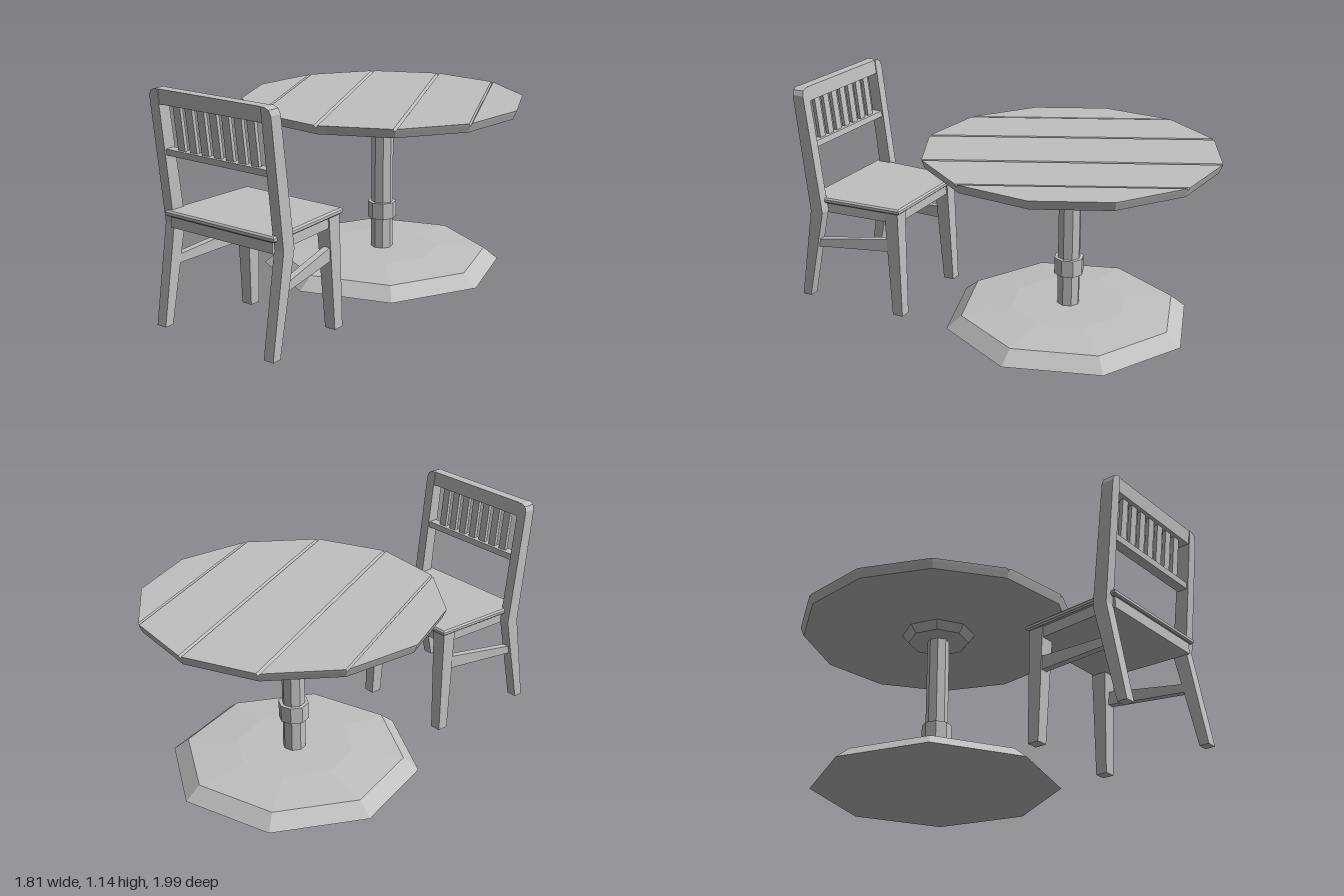
import * as THREE from 'three';
import { ConvexGeometry } from 'three/addons/geometries/ConvexGeometry.js';

export function createModel() {
  const model = new THREE.Group();
  const wood = new THREE.MeshStandardMaterial({ color: 0xc0c0c0 });
  wood.name = 'paleWood';

  const add = (parent, name, geometry) => {
    const mesh = new THREE.Mesh(geometry, wood);
    mesh.name = name;
    parent.add(mesh);
    return mesh;
  };
  const group = (parent, name) => {
    const g = new THREE.Group();
    g.name = name;
    parent.add(g);
    return g;
  };
  // faceted turned part with corners on the axes
  const turned = (points, sides) => {
    const g = new THREE.LatheGeometry(points.map(([r, y]) => new THREE.Vector2(r, y)), sides).toNonIndexed();
    g.computeVertexNormals();
    return g;
  };
  // convex solid through rectangular levels [y, x0, x1, z0, z1]
  const levels = (...rects) => {
    const points = [];
    for (const [y, x0, x1, z0, z1] of rects) {
      for (const x of [x0, x1]) for (const z of [z0, z1]) points.push(new THREE.Vector3(x, y, z));
    }
    return new ConvexGeometry(points);
  };

  // ---- Table ----
  const table = group(model, 'table');
  table.position.set(0.19, 0, -0.283);

  // twelve-sided top of five planks with V grooves between them
  const corner = (deg, r, y) => {
    const a = THREE.MathUtils.degToRad(deg);
    return new THREE.Vector3(r * Math.cos(a), y, r * Math.sin(a));
  };
  const R = 0.717, topY = 0.915, grooveY = 0.902;
  const ring = (k, r, y) => [corner(-30 * k, r, y), corner(30 + 30 * k, r, y)];
  const top = group(table, 'tableTop');
  for (let k = 0; k < 5; k++) {
    const near = ring(k, R, topY), far = ring(k + 1, R, topY);
    const points = [
      ...ring(k, 0.698, 0.87), ...ring(k + 1, 0.698, 0.87),
      ...ring(k, 0.712, grooveY), ...ring(k + 1, 0.712, grooveY),
    ];
    for (let i = 0; i < 2; i++) {
      points.push(near[i].clone().lerp(far[i], k > 0 ? 0.025 : 0));
      points.push(far[i].clone().lerp(near[i], k < 4 ? 0.025 : 0));
    }
    add(top, 'plank', new ConvexGeometry(points));
  }

  add(table, 'topSupport', turned([[0, 0.83], [0.155, 0.83], [0.19, 0.872], [0, 0.872]], 8));
  add(table, 'column', turned([[0.056, 0.1], [0.056, 0.84]], 8));
  add(table, 'collar', turned([[0.05, 0.28], [0.074, 0.28], [0.074, 0.365], [0.05, 0.365]], 8));
  add(table, 'base', turned([[0, 0.035], [0.615, 0.035], [0.54, 0.097], [0.29, 0.118], [0, 0.12]], 8));

  // ---- Chair, local +z is its front ----
  const chair = group(model, 'chair');
  chair.position.set(-0.445, 0, 0.54);
  chair.rotation.y = THREE.MathUtils.degToRad(140);

  // sloping back and front faces of the backrest at height y
  const backZ = (y) => -0.215 - (y - 0.51) * 0.111;
  const frontZ = (y) => -0.145 - (y - 0.51) * 0.127;
  const inner = 0.295, outer = 0.348;

  for (const side of [1, -1]) {
    const pair = group(chair, side > 0 ? 'leftSide' : 'rightSide');
    const part = (name, ...rects) =>
      add(pair, name, levels(...rects.map(([y, a, b, c, d]) => [y, side * a, side * b, c, d])));

    part('backLeg', [0.035, inner, outer, -0.295, -0.247], [0.51, inner, outer, -0.215, -0.145]);
    part('backPost',
      [0.51, inner, outer, backZ(0.51), frontZ(0.51)],
      [1.105, inner, outer, backZ(1.105), frontZ(1.105)],
      [1.13, inner, outer - 0.01, backZ(1.13), frontZ(1.13)],
      [1.14, inner, outer - 0.032, backZ(1.14), frontZ(1.14)]);
    part('frontLeg', [0, 0.228, 0.285, 0.213, 0.27], [0.55, 0.205, 0.28, 0.18, 0.256]);

    // side stretcher, deeper and lower towards the back leg
    const stretcher = [];
    for (const [z, x, y0, y1] of [[-0.2, 0.318, 0.315, 0.355], [0.215, 0.255, 0.34, 0.408]]) {
      for (const y of [y0, y1]) {
        for (const dx of [-0.017, 0.017]) stretcher.push(new THREE.Vector3(side * (x + dx), y, z));
      }
    }
    add(pair, 'sideStretcher', new ConvexGeometry(stretcher));
  }

  // backrest rails and slats between the posts
  const rail = (name, y0, y1, inset) => add(chair, name, levels(
    ...[y0, y1].map((y) => [y, -inner, inner, backZ(y) + inset, frontZ(y) - inset])));
  rail('topRail', 1.07, 1.14, 0.004);
  rail('lowerRail', 0.835, 0.865, 0.008);
  for (let i = -3; i <= 3; i++) {
    const x = i * 0.071;
    add(chair, 'backSlat', levels(...[0.86, 1.075].map((y) => {
      const mid = (backZ(y) + frontZ(y)) / 2;
      return [y, x - 0.021, x + 0.021, mid - 0.009, mid + 0.009];
    })));
  }

  // wedge-shaped solid, wider at the back, through levels [y, inset]
  const wedge = (wBack, wFront, zBack, zFront, steps) => {
    const points = [];
    for (const [y, e] of steps) {
      for (const s of [1, -1]) {
        points.push(new THREE.Vector3(s * (wBack - e), y, zBack + e));
        points.push(new THREE.Vector3(s * (wFront - e), y, zFront - e));
      }
    }
    return new ConvexGeometry(points);
  };
  add(chair, 'seat', wedge(0.32, 0.29, -0.245, 0.27,
    [[0.55, 0.008], [0.557, 0], [0.57, 0], [0.578, 0.008]]));
  add(chair, 'seatApron', wedge(0.3, 0.27, -0.23, 0.25, [[0.497, 0], [0.552, 0]]));

  return model;
}
